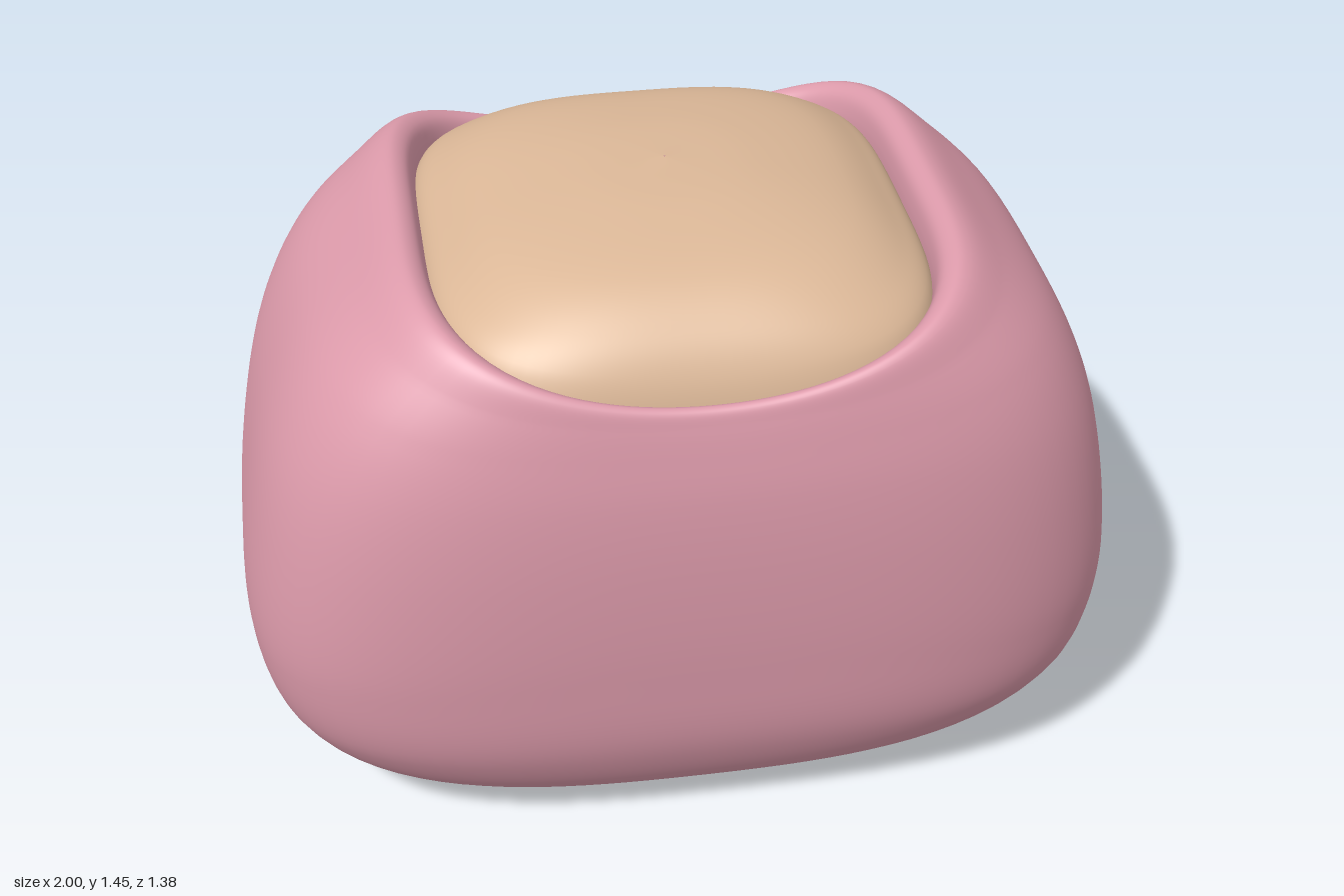
import * as THREE from 'three';

const rose = new THREE.MeshStandardMaterial({ color: 0xdd9bab });
rose.name = 'rose';
const tan = new THREE.MeshStandardMaterial({ color: 0xdcb898 });
tan.name = 'tan';

// Smooth loft through rounded-rectangle rings, listed along the surface.
// Ring: [half width, height at the sides, half depth, height at front and back, squareness]
function loft(rings, steps = 8, around = 128) {
  const side = new THREE.CatmullRomCurve3(rings.map(r => new THREE.Vector3(r[0], r[1], 0)));
  const front = new THREE.CatmullRomCurve3(rings.map(r => new THREE.Vector3(r[2], r[3], 0)));
  const rows = (rings.length - 1) * steps;
  const position = [], index = [];
  for (let i = 0; i <= rows; i++) {
    const s = side.getPoint(i / rows), f = front.getPoint(i / rows);
    const k = Math.min(Math.floor(i / steps), rings.length - 2);
    const n = THREE.MathUtils.lerp(rings[k][4], rings[k + 1][4], i / steps - k);
    for (let j = 0; j < around; j++) {
      const t = (j / around) * Math.PI * 2, c = Math.cos(t), d = Math.sin(t);
      const r = Math.pow(Math.abs(c) ** n + Math.abs(d) ** n, -1 / n);
      // saddle: height rises from the front and back towards the sides
      const y = f.y + (s.y - f.y) * (c * r) ** 2;
      position.push(s.x * c * r, y, f.x * d * r);
      if (i < rows) {
        const a = i * around + j, b = i * around + (j + 1) % around;
        index.push(a, a + around, b, b, a + around, b + around);
      }
    }
  }
  const geometry = new THREE.BufferGeometry();
  geometry.setAttribute('position', new THREE.Float32BufferAttribute(position, 3));
  geometry.setIndex(index);
  geometry.computeVertexNormals();
  return geometry;
}

export function createModel() {
  const group = new THREE.Group();
  group.name = 'cushionedPouf';

  // Outer shell: domed base, bulging walls, saddle rim, then down inside the opening
  const shell = new THREE.Mesh(loft([
    [0.002, 0.003, 0.002, 0.003, 2.2],
    [0.45, 0.025, 0.22, 0.012, 2.5],
    [0.74, 0.07, 0.41, 0.042, 2.9],
    [0.875, 0.147, 0.53, 0.11, 3.2],
    [0.965, 0.3, 0.635, 0.29, 3.5],
    [1.0, 0.5, 0.675, 0.54, 3.6],
    [0.97, 0.79, 0.69, 0.82, 3.6],
    [0.91, 1.02, 0.684, 1.0, 3.6],
    [0.82, 1.19, 0.67, 1.1, 3.6],
    [0.7, 1.31, 0.656, 1.17, 3.7],
    [0.62, 1.372, 0.645, 1.205, 3.9],
    [0.585, 1.38, 0.632, 1.212, 4],
    [0.555, 1.362, 0.614, 1.2, 4],
    [0.54, 1.31, 0.602, 1.16, 4],
    [0.545, 1.1, 0.605, 1.0, 4],
  ]), rose);
  shell.name = 'shell';
  group.add(shell);

  // Domed cushion filling the opening
  const cushion = new THREE.Mesh(loft([
    [0.57, 1.0, 0.615, 0.95, 4],
    [0.56, 1.2, 0.605, 1.16, 4],
    [0.535, 1.3, 0.58, 1.25, 3.9],
    [0.48, 1.347, 0.53, 1.325, 3.6],
    [0.39, 1.396, 0.43, 1.395, 3.2],
    [0.2, 1.438, 0.22, 1.438, 2.6],
    [0.002, 1.45, 0.002, 1.45, 2.2],
  ]), tan);
  cushion.name = 'cushion';
  group.add(cushion);

  return group;
}
